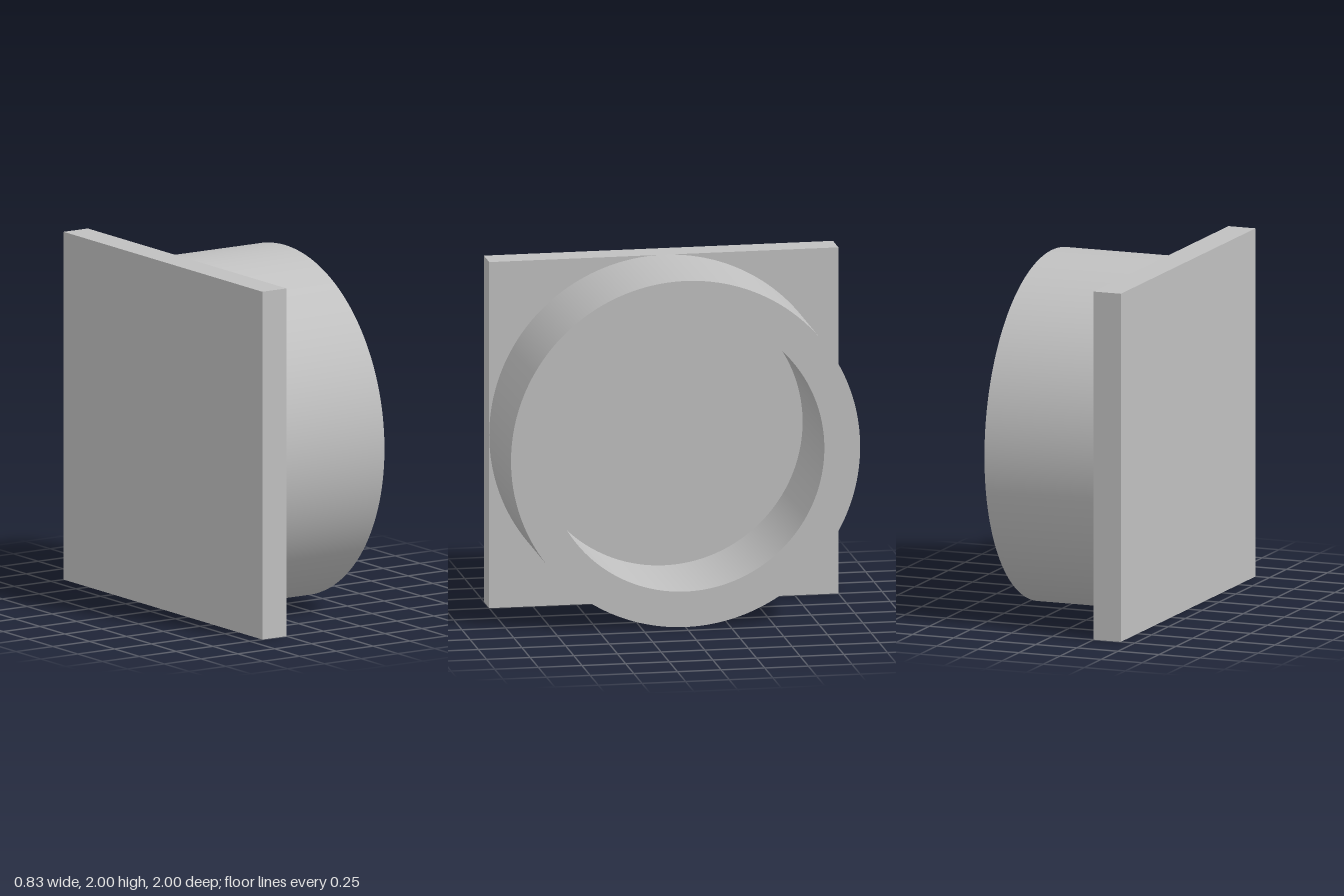
import * as THREE from 'three';
import { toCreasedNormals } from 'three/addons/utils/BufferGeometryUtils.js';

export function createModel() {
  const group = new THREE.Group();
  group.name = 'flangedCollar';
  const grey = new THREE.MeshStandardMaterial({ color: 0xc0c0c0 });
  grey.name = 'light grey';

  const xBack = -0.415, xFace = -0.25, xRim = 0.415;
  const outerRadius = 1, innerRadius = 0.795;

  // Square backing plate
  const plate = new THREE.Mesh(new THREE.BoxGeometry(xFace - xBack, 2, 2), grey);
  plate.name = 'squarePlate';
  plate.position.set((xBack + xFace) / 2, 1, 0);
  group.add(plate);

  // Round collar with a bore that ends at the plate
  const shape = new THREE.Shape().absarc(0, 0, outerRadius, 0, Math.PI * 2, false);
  shape.holes.push(new THREE.Path().absarc(0, 0, innerRadius, 0, Math.PI * 2, true));
  const ring = new THREE.ExtrudeGeometry(shape, {
    depth: xRim - xFace, bevelEnabled: false, curveSegments: 96,
  });
  ring.rotateY(Math.PI / 2);
  const collar = new THREE.Mesh(toCreasedNormals(ring, Math.PI / 6), grey);
  collar.name = 'collar';
  collar.position.set(xFace, 1, 0);
  group.add(collar);

  return group;
}
